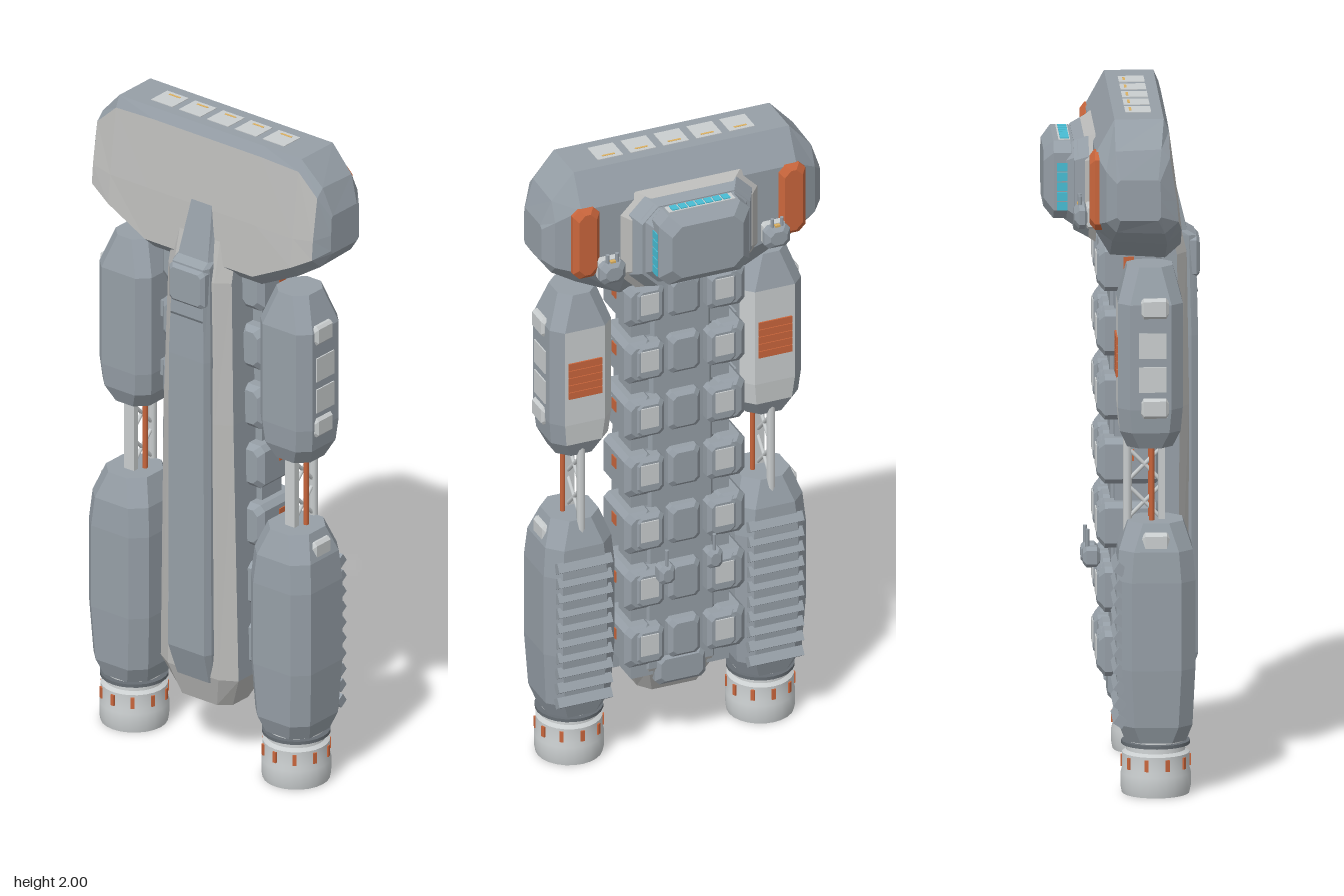
import * as THREE from 'three';
import { toCreasedNormals } from 'three/addons/utils/BufferGeometryUtils.js';

const mat = (name, color) => Object.assign(new THREE.MeshStandardMaterial({ color }), { name });
const hull = mat('blue grey hull', 0x969fa7);
const pale = mat('light grey', 0xbbbbb9);
const panel = mat('pale panel', 0xcacecf);
const dark = mat('dark grey', 0x666d73);
const orange = mat('orange trim', 0xca663c);
const amber = mat('amber light', 0xdcb060);
const teal = mat('teal glow', 0x48bdd4);

// Flat-faced skin over closed rings of [x, y, z]; pick(band, side) chooses a material slot
function loft(rings, pick = () => 0) {
  const n = rings[0].length, last = rings.length - 1, tris = [];
  for (let i = 0; i < last; i++) for (let j = 0; j < n; j++) {
    const k = (j + 1) % n, a = rings[i][j], b = rings[i][k], c = rings[i + 1][k], d = rings[i + 1][j];
    tris.push([a, b, c, pick(i, j)], [a, c, d, pick(i, j)]);
  }
  for (let j = 1; j < n - 1; j++) {
    tris.push([rings[0][0], rings[0][j + 1], rings[0][j], pick('start', j)]);
    tris.push([rings[last][0], rings[last][j], rings[last][j + 1], pick('end', j)]);
  }
  const v = p => new THREE.Vector3(...p);
  const o = v(rings[0][0]);
  const volume = tris.reduce((s, [a, b, c]) => s + v(a).sub(o).dot(v(b).sub(o).cross(v(c).sub(o))), 0);
  tris.sort((p, q) => p[3] - q[3]);
  const geo = new THREE.BufferGeometry();
  const pos = tris.flatMap(([a, b, c]) => (volume > 0 ? [a, b, c] : [a, c, b])).flat();
  geo.setAttribute('position', new THREE.Float32BufferAttribute(pos, 3));
  for (const slot of new Set(tris.map(t => t[3]))) {
    const first = tris.findIndex(t => t[3] === slot);
    geo.addGroup(first * 3, tris.filter(t => t[3] === slot).length * 3, slot);
  }
  geo.computeVertexNormals();
  return geo;
}

// Octagon of half sizes w, h with corner cut c
const oct = (w, h, c) => [[w, h - c], [w - c, h], [c - w, h], [-w, h - c], [-w, c - h], [c - w, -h], [w - c, -h], [w, c - h]];
// Right half outline mirrored into a closed ring
const mirrorRing = half => [...half, ...half.map(([x, y]) => [-x, y]).reverse()];

export function createModel() {
  const ship = new THREE.Group();
  ship.name = 'starship';
  const add = (name, geo, material, parent = ship) => {
    const m = new THREE.Mesh(geo, material);
    m.name = name;
    parent.add(m);
    return m;
  };
  const box = (name, material, x, y, z, w, h, d, parent) => {
    const m = add(name, new THREE.BoxGeometry(w, h, d), material, parent);
    m.position.set(x, y, z);
    return m;
  };
  // Block with all edges cut
  const block = (name, material, x, y, z, w, h, d, c, parent) => {
    const ring = (dz, inset) => oct(w / 2 - inset, h / 2 - inset, c).map(([a, b]) => [x + a, y + b, z + dz]);
    return add(name, loft([ring(-d / 2, c), ring(c - d / 2, 0), ring(d / 2 - c, 0), ring(d / 2, c)]), [material], parent);
  };
  // Octagonal plates stacked along z, each level [z, half width, half height]
  const tier = (name, material, x, y, c, levels, parent) => add(name, loft(levels.map(([z, w, h]) =>
    oct(w, h, c).map(([a, b]) => [x + a, y + b, z]))), [material], parent);
  const rod = (name, material, a, b, r, parent) => {
    const from = new THREE.Vector3(...a), dir = new THREE.Vector3(...b).sub(from);
    const m = add(name, new THREE.CylinderGeometry(r, r, dir.length(), 8), material, parent);
    m.position.copy(from).addScaledVector(dir, 0.5);
    m.quaternion.setFromUnitVectors(new THREE.Vector3(0, 1, 0), dir.normalize());
    return m;
  };

  // Wide head: [z, y] profiles from the middle outwards, with a folded pale front
  const middle = [[0.11, 2], [0.125, 1.97], [0.152, 1.76], [0.165, 1.6], [0.12, 1.56], [-0.04, 1.57], [-0.088, 1.65], [-0.088, 1.9], [-0.033, 2]];
  const outer = [[0.11, 2], [0.125, 1.965], [0.152, 1.76], [0.162, 1.67], [0.12, 1.63], [-0.04, 1.64], [-0.088, 1.69], [-0.088, 1.9], [-0.033, 2]];
  const bevel = [[0.1, 1.925], [0.125, 1.9], [0.145, 1.77], [0.15, 1.71], [0.11, 1.675], [-0.03, 1.68], [-0.06, 1.71], [-0.06, 1.86], [-0.033, 1.92]];
  const tip = [[0.09, 1.84], [0.095, 1.835], [0.098, 1.78], [0.098, 1.73], [0.09, 1.72], [-0.02, 1.72], [-0.03, 1.73], [-0.03, 1.83], [-0.02, 1.84]];
  const half = [[0.2, middle], [0.34, outer], [0.41, bevel], [0.44, tip]];
  const headRings = [...half.map(([x, p]) => [-x, p]).reverse(), ...half]
    .map(([x, p]) => p.map(([z, y]) => [x, y, z]));
  add('head', loft(headRings, (b, j) => (b >= 1 && b <= 5 && (j === 1 || j === 2) ? 1 : 0)), [hull, pale]);
  for (let i = -2; i <= 2; i++) {
    box('headTopPanel', panel, i * 0.104, 1.998, 0.04, 0.08, 0.008, 0.075);
    box('headTopLight', amber, i * 0.104, 2.0, 0.018, 0.04, 0.006, 0.007);
  }

  // Stepped bridge on the back of the head
  tier('bridgeBase', pale, 0, 1.76, 0.06, [[-0.08, 0.225, 0.16], [-0.112, 0.19, 0.145]]);
  tier('bridgeStep', hull, 0, 1.76, 0.05, [[-0.1, 0.195, 0.15], [-0.142, 0.17, 0.132]]);
  tier('bridgeStepUpper', hull, 0, 1.765, 0.04, [[-0.13, 0.17, 0.13], [-0.168, 0.14, 0.11]]);
  tier('bridgeTower', hull, 0, 1.775, 0.03, [[-0.13, 0.135, 0.11], [-0.15, 0.143, 0.115], [-0.2, 0.143, 0.115], [-0.228, 0.112, 0.085]]);
  box('windowStrip', panel, 0, 1.889, -0.168, 0.21, 0.006, 0.034);
  for (let i = -3; i <= 3; i++) box('bridgeWindow', teal, i * 0.027, 1.892, -0.167, 0.022, 0.006, 0.026);
  for (const s of [-1, 1]) for (let i = -2; i <= 2; i++)
    box('bridgeSideWindow', teal, s * 0.143, 1.76 + i * 0.029, -0.176, 0.006, 0.025, 0.03);

  // Tapered spine with a pale front, and raised keel
  const spine = [[0.18, 0.1, 0.16, 0.02], [0.28, 0.145, 0.19, -0.03], [1.1, 0.13, 0.195, -0.035], [1.55, 0.118, 0.188, -0.035], [1.69, 0.115, 0.155, -0.03]];
  add('spine', loft(spine.map(([y, w, f, b]) =>
    mirrorRing([[w * 0.65, f], [w, f - 0.03], [w, b + 0.04], [w * 0.7, b]]).map(([x, z]) => [x, y, z])),
  (b, j) => (b !== 'start' && b > 0 && j >= 1 && j <= 5 ? 1 : 0)), [pale, hull]);
  const keel = [[0.26, 0.068, 0.19], [0.36, 0.078, 0.222], [1.3, 0.075, 0.222], [1.595, 0.066, 0.215], [1.61, 0.064, 0.19], [1.795, 0.042, 0.145]];
  add('keel', loft(keel.map(([y, w, f]) =>
    mirrorRing([[w * 0.86, f], [w, f - 0.02], [w, 0.1]]).map(([x, z]) => [x, y, z]))), [hull]);
  block('keelPlate', hull, 0, 1.53, 0.202, 0.132, 0.12, 0.05, 0.01);
  for (const y of [1.32, 1.43]) box('keelBand', dark, 0, y, 0.217, 0.118, 0.005, 0.008);

  // Row of vertebra modules down the back
  for (let i = 0; i < 7; i++) {
    const y = 0.383 + i * 0.19;
    block('deckModule', hull, 0, y, -0.035, 0.1, 0.125, 0.06, 0.012);
    for (const s of [-1, 1]) {
      block('sideModule', hull, s * 0.145, y, 0.02, 0.09, 0.135, 0.18, 0.016);
      block('sideModuleCap', hull, s * 0.115, y, -0.045, 0.095, 0.12, 0.06, 0.012);
      box('capPanel', panel, s * 0.118, y + 0.008, -0.075, 0.056, 0.066, 0.008);
      box('moduleConnector', hull, s * 0.12, y - 0.095, 0.02, 0.07, 0.06, 0.09);
      box('moduleMark', orange, s * 0.19, y + 0.02, 0.015, 0.006, 0.035, 0.03);
    }
  }
  block('deckTail', hull, 0, 0.27, -0.015, 0.16, 0.1, 0.05, 0.014);

  const bell = [[0.074, 0.05], [0.084, 0], [0.098, 0], [0.102, 0.02], [0.102, 0.06], [0.098, 0.075], [0.098, 0.12], [0.086, 0.128], [0.082, 0.17]];
  for (const s of [-1, 1]) {
    const side = new THREE.Group();
    side.name = s > 0 ? 'leftSide' : 'rightSide';
    ship.add(side);
    const pod = (name, x, z, c, rows, pick) => add(name, loft(rows.map(([y, w, d]) =>
      oct(w, d, c).map(([a, b]) => [s * (x + a), y, z + b])), pick), [hull, panel], side);

    // Upper pod with a pale back
    pod('upperPod', 0.3, 0.07, 0.034, [[1.03, 0.066, 0.066], [1.08, 0.09, 0.088], [1.15, 0.097, 0.094], [1.46, 0.097, 0.094], [1.565, 0.06, 0.066]],
      (b, j) => ((b === 1 || b === 2) && (j === 5 || j === 4) ? 1 : 0));
    for (let i = 0; i < 5; i++) box('podOrangeSlat', orange, s * 0.3, 1.25 + i * 0.024, -0.025, 0.105, 0.022, 0.008, side);
    for (const y of [1.24, 1.34]) box('podVent', panel, s * 0.397, y, 0.075, 0.008, 0.075, 0.08, side);
    for (const y of [1.155, 1.45]) block('podBox', panel, s * 0.392, y, 0.082, 0.03, 0.06, 0.08, 0.008, side);

    // Lower pod with slanted cooling slats on its back
    pod('lowerPod', 0.302, 0.086, 0.042, [[0.16, 0.085, 0.088], [0.21, 0.102, 0.106], [0.38, 0.112, 0.114], [0.64, 0.112, 0.114], [0.73, 0.104, 0.107], [0.81, 0.076, 0.08]]);
    for (let i = 0; i < 10; i++) {
      const slat = box('coolingSlat', hull, s * 0.302, 0.225 + i * 0.05, -0.018, 0.17, 0.03, 0.03, side);
      slat.rotation.x = 0.6;
    }
    block('lowerPodBox', panel, s * 0.385, 0.755, 0.085, 0.035, 0.06, 0.08, 0.009, side);

    // Rods and lattice joining the pods
    for (const x of [0.272, 0.328]) rod('orangeRod', orange, [s * x, 0.78, 0.075], [s * x, 1.06, 0.075], 0.008, side);
    box('linkBeam', panel, s * 0.3, 0.92, 0.105, 0.036, 0.28, 0.02, side);
    rod('linkRod', panel, [s * 0.3, 0.76, 0.006], [s * 0.3, 1.06, 0.006], 0.013, side);
    for (const [y0, y1] of [[0.81, 0.91], [0.91, 0.81], [0.92, 1.02], [1.02, 0.92]])
      rod('lattice', panel, [s * 0.3, y0, 0.006], [s * 0.3, y1, 0.105], 0.006, side);
    for (const y of [0.3, 0.6, 1.16, 1.35]) box('podMount', hull, s * 0.2, y, 0.06, 0.06, 0.05, 0.06, side);

    // Engine bell, open at the bottom with a glowing disc
    const engine = new THREE.Group();
    engine.name = 'engine';
    engine.position.set(s * 0.302, 0, 0.088);
    side.add(engine);
    const lathe = new THREE.LatheGeometry(bell.map(([r, y]) => new THREE.Vector2(r, y)), 24);
    add('engineBell', toCreasedNormals(lathe, 0.5), panel, engine);
    add('engineGlow', new THREE.CylinderGeometry(0.079, 0.079, 0.006, 24), teal, engine).position.y = 0.03;
    add('engineCollar', new THREE.CylinderGeometry(0.1, 0.1, 0.01, 24), dark, engine).position.y = 0.15;
    for (let i = 0; i < 10; i++) {
      const a = (i / 10) * Math.PI * 2;
      const tick = box('engineTick', orange, Math.sin(a) * 0.098, 0.095, Math.cos(a) * 0.098, 0.012, 0.034, 0.008, engine);
      tick.rotation.y = a;
    }

    // Orange shields and small turrets on the back of the head
    tier('headShield', orange, s * 0.325, 1.79, 0.02, [[-0.06, 0.042, 0.115], [-0.09, 0.042, 0.115], [-0.104, 0.028, 0.1]], side);
    block('headTurretBase', panel, s * 0.26, 1.7, -0.1, 0.07, 0.07, 0.03, 0.008, side);
    block('headTurret', hull, s * 0.26, 1.7, -0.125, 0.08, 0.07, 0.044, 0.014, side);
    box('turretLight', amber, s * 0.26, 1.736, -0.132, 0.016, 0.006, 0.012, side);
    for (const x of [0.245, 0.275]) rod('turretBarrel', hull, [s * x, 1.7, -0.13], [s * x, 1.76, -0.13], 0.006, side);

    // Deck guns
    const gx = s * 0.075, gy = s > 0 ? 0.63 : 0.65;
    block('deckGun', hull, gx, gy, -0.088, 0.05, 0.06, 0.05, 0.01, side);
    rod('deckGunBarrel', hull, [gx, gy, -0.1], [gx, gy + 0.08, -0.1], 0.006, side);
  }
  return ship;
}
